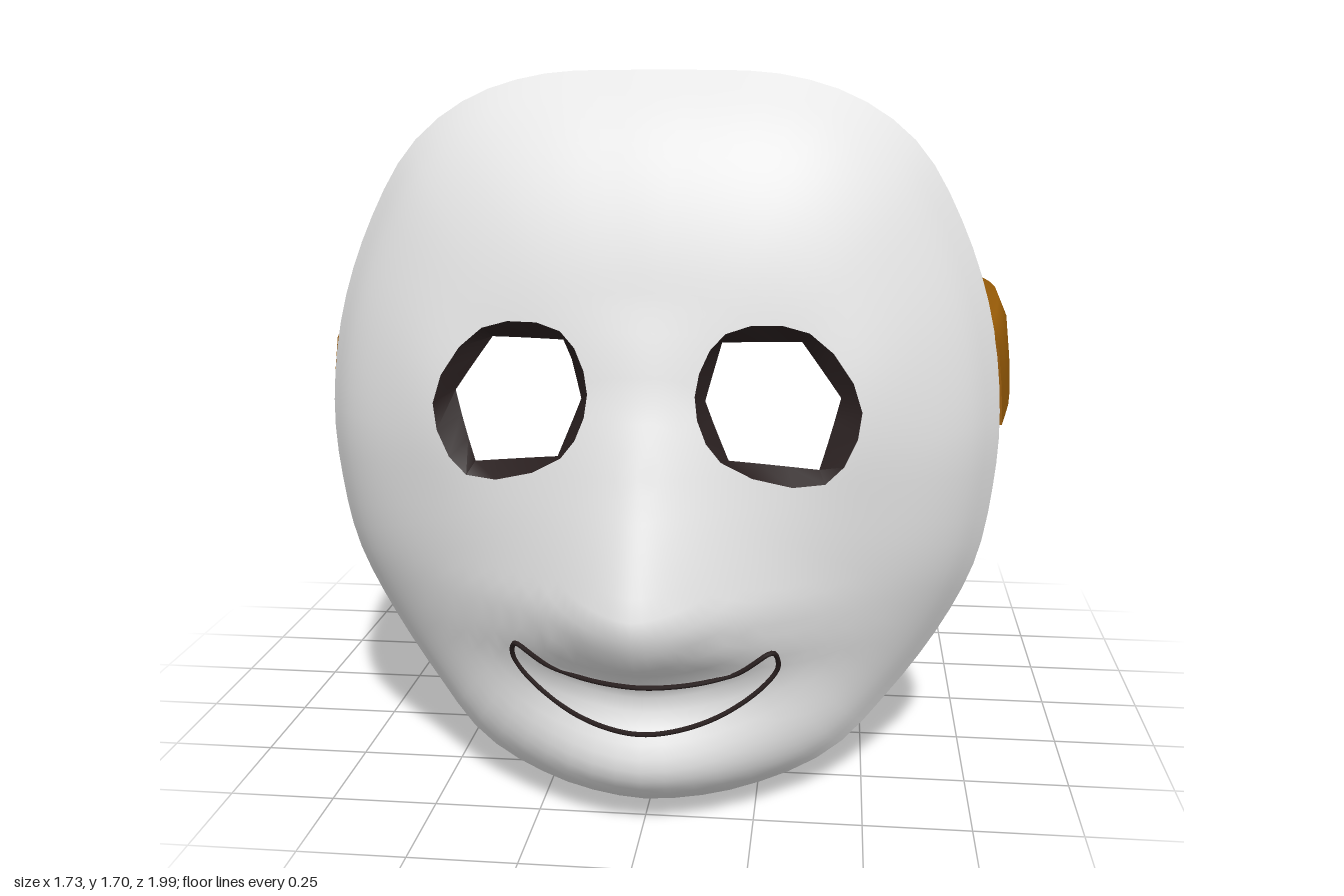
import * as THREE from 'three';
import { toCreasedNormals } from 'three/addons/utils/BufferGeometryUtils.js';

const CY = 0.85, THICK = 0.05;
const V = (p) => new THREE.Vector3(...p);

// Half outline of the face from brow to chin, z is the depth of the rim
const rim = new THREE.CatmullRomCurve3([
  [0, 1.7, 0.43], [0.28, 1.69, 0.41], [0.46, 1.635, 0.4], [0.6, 1.53, 0.39], [0.705, 1.35, 0.4],
  [0.778, 1.13, 0.42], [0.803, 0.9, 0.44], [0.795, 0.73, 0.43], [0.765, 0.55, 0.41], [0.69, 0.38, 0.4],
  [0.565, 0.215, 0.45], [0.42, 0.09, 0.54], [0.21, 0.025, 0.62], [0, 0, 0.65]].map(V)).getPoints(80)
  .map((p) => ({ a: Math.atan2(p.x, p.y - CY), r: Math.hypot(p.x, p.y - CY), z: p.z }));

function rimAt(x, y) {
  const a = Math.atan2(Math.abs(x), y - CY);
  let i = 1;
  while (i < rim.length - 1 && rim[i].a < a) i++;
  const p = rim[i - 1], q = rim[i];
  const t = THREE.MathUtils.clamp((a - p.a) / (q.a - p.a || 1), 0, 1);
  return { r: p.r + (q.r - p.r) * t, z: p.z + (q.z - p.z) * t };
}

// Height of the nose ridge along y
const noseKeys = [[0.29, 0], [0.37, 0.05], [0.43, 0.16], [0.53, 0.212], [0.8, 0.1], [1.0, 0.03], [1.2, 0]];
function noseHeight(y) {
  for (let i = 1; i < noseKeys.length; i++) {
    const [y0, h0] = noseKeys[i - 1], [y1, h1] = noseKeys[i];
    if (y >= y0 && y <= y1) return h0 + (h1 - h0) * (y - y0) / (y1 - y0);
  }
  return 0;
}

// Depth of the face: dome, nose, muzzle and outer eye corners
function depth(x, y) {
  const e = rimAt(x, y);
  const u = Math.min(1, Math.hypot(x, y - CY) / e.r);
  const dome = e.z + (0.79 - e.z) * Math.pow(1 - Math.pow(u, 2.5), 0.6);
  const w = THREE.MathUtils.clamp(0.25 - (y - 0.53) * 0.17, 0.14, 0.25);
  const nose = noseHeight(y) * Math.exp(-Math.pow(Math.abs(x) / w, 1.6));
  const muzzle = 0.13 * Math.exp(-((x / 0.32) ** 2) - ((y - 0.14) / 0.15) ** 2) * (1 - u ** 30);
  const corner = 0.015 * Math.exp(-(((Math.abs(x) - 0.47) / 0.12) ** 2) - ((y - 0.98) / 0.2) ** 2);
  return dome + nose + muzzle + corner;
}

function normal(x, y) {
  const d = 0.04, u = Math.hypot(x, y - CY) / rimAt(x, y).r;
  const k = u > 0.94 ? 0.94 / u : 1;
  x *= k;
  y = CY + (y - CY) * k;
  return new THREE.Vector3((depth(x - d, y) - depth(x + d, y)) / (2 * d),
    (depth(x, y - d) - depth(x, y + d)) / (2 * d), 1).normalize();
}

// Point on the face, sunk by t along the normal
const onFace = ([x, y], t = 0) => new THREE.Vector3(x, y, depth(x, y)).addScaledVector(normal(x, y), -t);

function geometry(points, normals) {
  const g = new THREE.BufferGeometry().setFromPoints(points);
  if (normals) g.setAttribute('normal', new THREE.Float32BufferAttribute(normals.flatMap((n) => n.toArray()), 3));
  return g;
}

// Cuts a convex hole out of a polygon and returns the remaining pieces
function cut(whole, hole) {
  const pieces = [];
  let poly = whole;
  for (let i = 0; i < hole.length; i++) {
    const a = hole[i], b = hole[(i + 1) % hole.length];
    const side = (p) => (b[0] - a[0]) * (p[1] - a[1]) - (b[1] - a[1]) * (p[0] - a[0]);
    const inside = [], outside = [];
    poly.forEach((p, j) => {
      const q = poly[(j + 1) % poly.length], sp = side(p), sq = side(q);
      (sp > 0 ? inside : outside).push(p);
      if (sp > 0 !== sq > 0) {
        const t = sp / (sp - sq), m = [p[0] + (q[0] - p[0]) * t, p[1] + (q[1] - p[1]) * t];
        inside.push(m);
        outside.push(m);
      }
    });
    if (inside.length < 3) return [whole];
    if (outside.length > 2) pieces.push(outside);
    poly = inside;
  }
  return pieces;
}

const RINGS = 26, SEGS = 80;
function facePoint(i, j) {
  const t = i / RINGS, u = 1 - (1 - t) ** 1.6, a = (j % SEGS) / SEGS * Math.PI * 2;
  const s = Math.sin(a), c = Math.cos(a), r = u * rimAt(s, CY + c).r;
  return [-s * r, CY + c * r];
}

// One skin of the mask with the eyes cut out
function skin(t, holes, inner) {
  const pts = [], nor = [];
  for (let i = 0; i < RINGS; i++) for (let j = 0; j < SEGS; j++) {
    const quad = [facePoint(i, j), facePoint(i + 1, j), facePoint(i + 1, j + 1)];
    if (i) quad.push(facePoint(i, j + 1));
    let polys = [quad];
    for (const h of holes) polys = polys.flatMap((p) => cut(p, h));
    for (const p of polys) for (let k = 1; k < p.length - 1; k++) {
      const tri = inner ? [p[0], p[k + 1], p[k]] : [p[0], p[k], p[k + 1]];
      for (const v of tri) {
        pts.push(onFace(v, t));
        nor.push(normal(...v).multiplyScalar(inner ? -1 : 1));
      }
    }
  }
  return geometry(pts, nor);
}

// Strips of quads between successive closed loops
function loft(loops, crease, caps = false) {
  const pts = [], n = loops[0].length;
  for (let i = 0; i < loops.length - 1; i++) for (let j = 0; j < n; j++) {
    const a = loops[i], b = loops[i + 1], k = (j + 1) % n;
    pts.push(a[j], b[j], a[k], a[k], b[j], b[k]);
  }
  if (caps) for (let k = 1; k < n - 1; k++) {
    const a = loops[0], b = loops[loops.length - 1];
    pts.push(a[0], a[k], a[k + 1], b[0], b[k + 1], b[k]);
  }
  return toCreasedNormals(geometry(pts), crease);
}

// Strap: a tilted, rounded section swept round the head
function strapGeometry() {
  const half = [[0.76, 1, 0.425], [0.8, 1.015, 0.2], [0.815, 1.03, -0.02], [0.79, 1.03, -0.27], [0.73, 1.025, -0.5],
    [0.61, 1.025, -0.71], [0.46, 1.025, -0.84], [0.3, 1.03, -0.92]];
  const path = new THREE.CatmullRomCurve3([...half, [0, 1.035, -0.95],
    ...half.map(([x, y, z]) => [-x, y, z]).reverse()].map(V));
  const section = [[0.05, -0.12], [0.046, -0.03], [0.036, 0.06], [0.012, 0.115], [-0.025, 0.12],
    [-0.045, 0.1], [-0.03, 0], [-0.012, -0.1], [0.015, -0.12]];
  const loops = [];
  for (let i = 0; i <= 40; i++) {
    const p = path.getPoint(i / 40), d = path.getTangent(i / 40);
    const out = new THREE.Vector3(-d.z, 0, d.x).normalize();
    loops.push(section.map(([o, h]) => p.clone().addScaledVector(out, o).add(new THREE.Vector3(0, h, 0))));
  }
  return loft(loops, 1.1, true);
}

export function createModel() {
  const model = new THREE.Group();
  const mat = (name, color) => {
    const m = new THREE.MeshStandardMaterial({ color, side: THREE.DoubleSide });
    m.name = name;
    return m;
  };
  const white = mat('mask white', 0xe6e6e6), brown = mat('strap brown', 0x995c07), dark = mat('dark brown', 0x2a2020);
  const add = (name, geo, material) => {
    const mesh = new THREE.Mesh(geo, material);
    mesh.name = name;
    model.add(mesh);
  };

  // Eye openings: rounded in front, narrowing to six sides, then flaring a little behind
  const mirror = (loop) => loop.map(([x, y]) => [-x, y]).reverse();
  const front = new THREE.CatmullRomCurve3([[0.175, 0.87, 0], [0.4, 0.812, 0], [0.477, 0.97, 0], [0.36, 1.143, 0],
    [0.18, 1.143, 0], [0.117, 1.01, 0]].map(V), true);
  const hex = [[0.2, 0.87], [0.395, 0.835], [0.44, 1], [0.35, 1.125], [0.175, 1.125], [0.143, 1]];
  const outer = [], middle = [];
  for (let i = 0; i < 18; i++) {
    const p = front.getPoint(i / 18), a = hex[Math.floor(i / 3)], b = hex[(Math.floor(i / 3) + 1) % 6], t = (i % 3) / 3;
    outer.push([p.x, p.y]);
    middle.push([a[0] + (b[0] - a[0]) * t, a[1] + (b[1] - a[1]) * t]);
  }
  const flare = (loop) => loop.map(([x, y]) => [0.285 + (x - 0.285) * 1.09, 0.985 + (y - 0.985) * 1.09]);

  add('maskFront', skin(0, [outer, mirror(outer)], false), white);
  add('maskInside', skin(THICK, [flare(hex), mirror(flare(hex))], true), white);
  const edge = Array.from({ length: SEGS }, (_, j) => facePoint(RINGS, j));
  const bulge = edge.map((p) => onFace(p, THICK / 2)
    .add(new THREE.Vector3(p[0], p[1] - CY, 0).setLength(0.008)).add(new THREE.Vector3(0, 0, -0.013)));
  add('maskRim', loft([edge.map((p) => onFace(p)), bulge, edge.map((p) => onFace(p, THICK))], 1.1), white);
  for (const [name, f] of [['leftEyeEdge', (l) => l], ['rightEyeEdge', mirror]])
    add(name, loft([f(outer).map((p) => onFace(p)), f(middle).map((p) => onFace(p, 0.038)),
      f(flare(middle)).map((p) => onFace(p, THICK))], 0.8), dark);

  // Smile drawn as a thin line lying on the face
  const smile = new THREE.CatmullRomCurve3([[-0.29, 0.43, 0], [-0.2, 0.375, 0], [0, 0.35, 0], [0.2, 0.375, 0], [0.29, 0.43, 0],
    [0.3, 0.38, 0], [0.2, 0.285, 0], [0, 0.24, 0], [-0.2, 0.285, 0], [-0.3, 0.38, 0]].map(V), true);
  const line = new THREE.CatmullRomCurve3(smile.getPoints(80).slice(0, -1).map((p) => onFace([p.x, p.y], -0.003)), true);
  add('smileLine', new THREE.TubeGeometry(line, 160, 0.006, 5, true), dark);

  add('strap', strapGeometry(), brown);
  return model;
}
